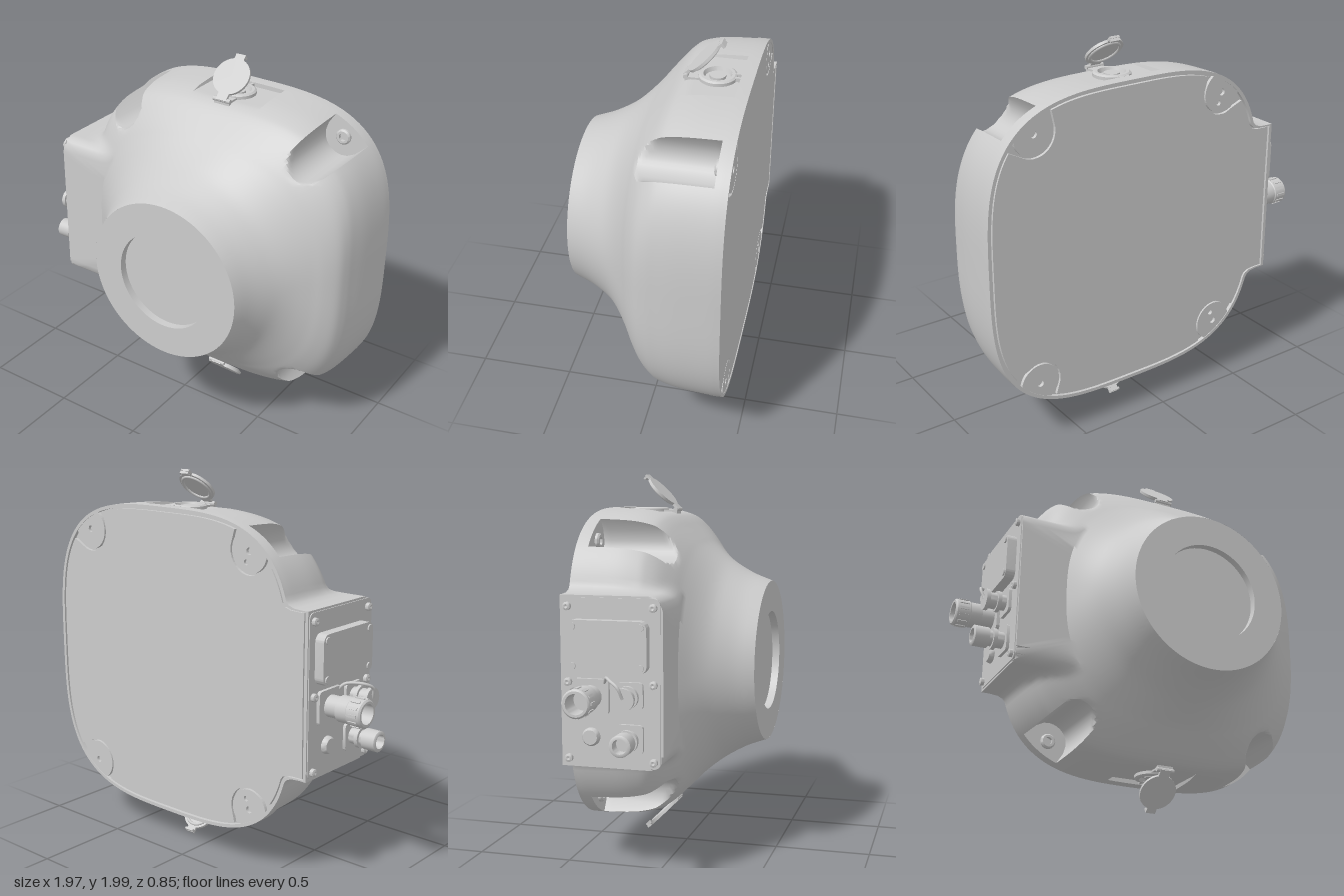
import * as THREE from 'three';
import { toCreasedNormals } from 'three/addons/utils/BufferGeometryUtils.js';

const CX = 0.16, CY = 1.005, BACK = -0.425, FLOOR = -0.36, BOX_Z = 0.09;
const PX = 0.558, PY = 0.657, PD = Math.hypot(PX, PY), PR = 0.105; // corner screw pockets
const PAD_X = 0.2, PAD_Y = 0.797;                                  // flat recess under each flap
const mat = new THREE.MeshStandardMaterial({ color: 0xcccccc, side: THREE.DoubleSide });

// Half width and half height of the housing along z
const profile = new THREE.CatmullRomCurve3([
  [-0.425, 0.82, 0.82], [-0.36, 0.82, 0.82], [-0.2, 0.81, 0.812], [-0.1, 0.795, 0.79],
  [-0.05, 0.785, 0.76], [0, 0.765, 0.712], [0.05, 0.715, 0.662], [0.09, 0.66, 0.622],
  [0.15, 0.59, 0.573], [0.22, 0.53, 0.525], [0.32, 0.47, 0.47], [0.425, 0.43, 0.43],
].map(p => new THREE.Vector3(...p)), false, 'catmullrom');

const pocketAngles = [[1, 1], [-1, 1], [-1, -1], [1, -1]].map(([sx, sy]) => Math.atan2(sy * PY, sx * PX));
const wrap = a => Math.atan2(Math.sin(a), Math.cos(a));

// Distance at which a ray from the centre enters a corner pocket
function pocketEntry(t, R) {
  for (const p of pocketAngles) {
    const s = PD * Math.sin(t - p), c = Math.cos(t - p);
    if (c > 0 && Math.abs(s) < R) return PD * c - Math.sqrt(R * R - s * s);
  }
  return Infinity;
}

// Radius of the housing cross-section at angle t
function radius(t, { x: z, y: a, z: b }, withBox, withCuts) {
  const c = Math.cos(t), s = Math.sin(t);
  const n = 3.3 - 1.3 * THREE.MathUtils.smoothstep(z, -0.1, 0.24);
  let r = (Math.abs(c / a) ** n + Math.abs(s / b) ** n) ** (-1 / n);
  if (withCuts) {
    r = Math.min(r, pocketEntry(t, PR));
    if (Math.abs(c / s) < PAD_X / PAD_Y) r = Math.min(r, PAD_Y / Math.abs(s));
  }
  if (withBox && c < 0) {
    const u = Math.min(Math.max((z - 0.02) / 0.07, 0), 1);
    const hy = 0.418 - 0.07 * (1 - Math.sqrt(1 - u * u));
    const box = Math.min(0.915 / -c, hy / Math.max(Math.abs(s), 1e-6));
    const k = 0.08, h = Math.max(k - Math.abs(r - box), 0) / k;
    r = Math.max(r, box) + h * h * k / 4;
  }
  return r;
}

// Evenly spread angles, plus pairs on both sides of every sharp edge
function makeAngles() {
  const list = Array.from({ length: 240 }, (_, i) => wrap(i * Math.PI / 120 + 0.003));
  const edge = t => list.push(wrap(t - 2e-4), wrap(t + 2e-4));
  pocketAngles.forEach(p => [-1, 1].forEach(k => edge(p + k * Math.asin(PR / PD))));
  for (const sy of [-1, 1]) {
    for (const sx of [-1, 1]) edge(Math.atan2(sy * PAD_Y, sx * PAD_X));
    list.push(Math.atan2(sy * 0.418, -0.915), Math.atan2(sy * 0.348, -0.915));
  }
  return list.sort((p, q) => p - q);
}
const angles = makeAngles();

// Skin over rows of { z, radii }, leaving out collapsed triangles
function loft(rows) {
  const pts = rows.map(({ z, f }) => angles.map(t => {
    const r = f(t);
    return new THREE.Vector3(CX + r * Math.cos(t), CY + r * Math.sin(t), z);
  }));
  const pos = [], tri = new THREE.Triangle();
  const add = (a, b, c) => {
    if (tri.set(a, b, c).getArea() > 1e-10) for (const v of [a, b, c]) pos.push(v.x, v.y, v.z);
  };
  for (let i = 0; i + 1 < pts.length; i++) {
    angles.forEach((_, j) => {
      const k = (j + 1) % angles.length;
      add(pts[i][j], pts[i][k], pts[i + 1][k]);
      add(pts[i][j], pts[i + 1][k], pts[i + 1][j]);
    });
  }
  const g = new THREE.BufferGeometry();
  g.setAttribute('position', new THREE.Float32BufferAttribute(pos, 3));
  return toCreasedNormals(g, 0.6);
}

export function createModel() {
  const model = new THREE.Group();
  const add = (name, geo, x = 0, y = 0, z = 0, parent = model) => {
    const m = new THREE.Mesh(geo, mat);
    m.name = name;
    m.position.set(x, y, z);
    parent.add(m);
    return m;
  };
  const lathe = (pts, seg = 32) =>
    toCreasedNormals(new THREE.LatheGeometry(pts.map(p => new THREE.Vector2(...p)), seg), 0.6);

  // Housing with side box, pockets and a raised rim at the back
  const back = profile.getPoint(0);
  const rim = inset => t => radius(t, back, true, false) - inset;
  const rows = [{ z: -0.405, f: () => 0 }, { z: -0.405, f: rim(0.018) }, { z: BACK, f: rim(0.018) }];
  const N = 44;
  for (let i = 0; i <= N; i++) {
    const p = profile.getPoint(i / N);
    const row = (box, cuts) => rows.push({ z: p.x, f: t => radius(t, p, box, cuts) });
    if (i <= 4) row(true, false);
    if (i >= 4 && p.x < BOX_Z + 1e-4) row(true, true);
    if (p.x > BOX_Z - 1e-4) row(false, true);
  }
  add('housing', loft(rows));

  // Front ring with a shallow round window
  add('frontWindow', lathe([[0.43, 0.425], [0.265, 0.425], [0.265, 0.385], [0, 0.385]], 96).rotateX(Math.PI / 2), CX, CY, 0);

  // Back cover, cut out around the four screw lugs
  const cover = new THREE.Shape(angles.map(t => {
    const r = Math.min(rim(0.027)(t), pocketEntry(t, 0.118));
    return new THREE.Vector2(r * Math.cos(t), r * Math.sin(t));
  }));
  add('backCover', new THREE.ExtrudeGeometry(cover, { depth: 0.018, bevelEnabled: false }), CX, CY, -0.422);

  // Screw lugs at the back, washers in the pockets
  pocketAngles.forEach(p => {
    const x = PD * Math.cos(p), y = PD * Math.sin(p);
    const lug = new THREE.Shape(Array.from({ length: 48 }, (_, i) => {
      const a = i * Math.PI / 24;
      const v = new THREE.Vector2(x + 0.108 * Math.cos(a), y + 0.108 * Math.sin(a));
      return v.setLength(Math.min(v.length(), rim(0.01)(v.angle())));
    }));
    lug.holes.push(new THREE.Path().absarc(x, y, 0.018, 0, Math.PI * 2));
    if (x < 0) lug.holes.push(new THREE.Path().absarc(x + 0.02, y - Math.sign(y) * 0.055, 0.014, 0, Math.PI * 2));
    add('screwLug', new THREE.ExtrudeGeometry(lug, { depth: 0.018, bevelEnabled: false, curveSegments: 16 }), CX, CY, -0.422);
    add('pocketWasher', lathe([[0.04, 0], [0.04, 0.012], [0.032, 0.02], [0.02, 0.02], [0.02, 0]]).rotateX(Math.PI / 2),
      CX + x, CY + y, FLOOR);
  });

  // Rounded plates on the side of the box; extruded towards -x
  const sidePlate = (name, w, h, r, depth, x, y, z) => {
    const s = new THREE.Shape(), a = w / 2, b = h / 2;
    s.absarc(a - r, b - r, r, 0, Math.PI / 2).absarc(-a + r, b - r, r, Math.PI / 2, Math.PI);
    s.absarc(-a + r, -b + r, r, Math.PI, Math.PI * 1.5).absarc(a - r, -b + r, r, Math.PI * 1.5, Math.PI * 2);
    const g = new THREE.ExtrudeGeometry(s, { depth, bevelEnabled: false, curveSegments: 6 });
    add(name, toCreasedNormals(g.rotateY(-Math.PI / 2), 0.6), x, y, z);
  };
  sidePlate('sidePanel', 0.495, 0.815, 0.03, 0.01, -0.75, CY, -0.17);
  sidePlate('sideCover', 0.40, 0.25, 0.04, 0.055, -0.756, 1.185, -0.175);
  sidePlate('largeConnectorFlange', 0.18, 0.17, 0.02, 0.022, -0.756, 0.94, -0.265);
  sidePlate('smallConnectorFlange', 0.13, 0.14, 0.02, 0.02, -0.756, 0.74, -0.07);
  sidePlate('capFlange', 0.13, 0.13, 0.02, 0.02, -0.756, 0.95, -0.07);

  // Turned parts pointing to -x, as [radius, distance] profiles
  const turned = (name, pts, y, z, seg = 28) => add(name, lathe(pts, seg).rotateZ(Math.PI / 2), -0.756, y, z);
  turned('largeConnector', [[0.055, 0], [0.055, 0.09], [0.066, 0.09], [0.066, 0.15], [0.07, 0.155], [0.07, 0.225],
    [0.062, 0.232], [0.05, 0.232], [0.05, 0.12], [0, 0.12]], 0.94, -0.265);
  turned('smallConnector', [[0.042, 0], [0.042, 0.06], [0.055, 0.06], [0.055, 0.08], [0.04, 0.08], [0.04, 0.1],
    [0.053, 0.1], [0.053, 0.175], [0.045, 0.18], [0.036, 0.18], [0.036, 0.12], [0, 0.12]], 0.74, -0.07);
  turned('connectorCap', [[0.04, 0], [0.04, 0.05], [0.055, 0.05], [0.055, 0.07], [0.042, 0.07], [0.042, 0.11],
    [0.055, 0.11], [0.055, 0.13], [0, 0.13]], 0.95, -0.07);
  turned('ventPlug', [[0.045, 0], [0.045, 0.015], [0.036, 0.03], [0, 0.03]], 0.74, -0.27);
  for (const y of [0.63, 1.005, 1.37]) for (const z of [-0.385, 0.045])
    turned('panelScrew', [[0.02, 0], [0.02, 0.022], [0.01, 0.026], [0, 0.02]], y, z, 16);
  for (const y of [1.09, 1.28]) for (const z of [-0.345, -0.005])
    turned('coverScrew', [[0.018, 0.05], [0.018, 0.062], [0, 0.062]], y, z, 16);

  // Ribs around the grip of the large connector
  for (let i = 0; i < 12; i++) {
    const a = i * Math.PI / 6;
    const rib = add('gripRib', new THREE.BoxGeometry(0.05, 0.008, 0.014),
      -0.945, 0.94 + 0.07 * Math.cos(a), -0.265 + 0.07 * Math.sin(a));
    rib.rotation.x = a;
  }

  // Strap that holds the cap
  const strap = new THREE.CatmullRomCurve3([[-0.765, 1.0, -0.2], [-0.80, 1.035, -0.18], [-0.88, 1.035, -0.13],
    [-0.90, 1.01, -0.09], [-0.885, 0.955, -0.07]].map(p => new THREE.Vector3(...p)));
  add('capStrap', new THREE.TubeGeometry(strap, 24, 0.008, 8));

  // Socket with an open flap, on top and mirrored below
  for (const side of [1, -1]) {
    const port = new THREE.Group();
    port.name = side > 0 ? 'topPort' : 'bottomPort';
    port.position.set(CX, CY, 0);
    if (side < 0) port.rotation.z = Math.PI;
    model.add(port);
    add('socketRing', lathe([[0.095, 0], [0.095, 0.018], [0.085, 0.025], [0.07, 0.025], [0.062, 0.004], [0, 0.004]], 40),
      0, PAD_Y - 0.002, -0.245, port);
    add('socketCore', new THREE.CylinderGeometry(0.04, 0.04, 0.016, 24), 0, PAD_Y + 0.008, -0.245, port);
    for (const x of [-0.02, 0.02]) add('latch', new THREE.BoxGeometry(0.014, 0.02, 0.05), x, PAD_Y + 0.01, -0.335, port);
    add('hingeBase', new THREE.BoxGeometry(0.09, 0.024, 0.09), 0, PAD_Y - 0.002, -0.135, port);
    add('hingePin', new THREE.CylinderGeometry(0.012, 0.012, 0.1, 12).rotateZ(Math.PI / 2), 0, PAD_Y + 0.012, -0.095, port);

    // Flap leans back at 45 degrees from the hinge
    const flap = new THREE.Group();
    flap.name = 'flap';
    flap.position.set(0, PAD_Y + 0.018, -0.092);
    flap.rotation.x = -Math.PI / 4;
    port.add(flap);
    add('flapDisc', new THREE.CylinderGeometry(0.1, 0.1, 0.014, 40).rotateX(Math.PI / 2), 0, 0.125, 0, flap);
    add('flapRim', new THREE.TorusGeometry(0.08, 0.008, 8, 32), 0, 0.125, -0.008, flap);
    add('flapArm', new THREE.BoxGeometry(0.06, 0.06, 0.014), 0, 0.02, 0, flap);
    add('flapTab', new THREE.BoxGeometry(0.055, 0.045, 0.012), 0, 0.228, 0, flap);
    add('flapHook', new THREE.BoxGeometry(0.055, 0.012, 0.022), 0, 0.242, -0.01, flap);
  }
  return model;
}
